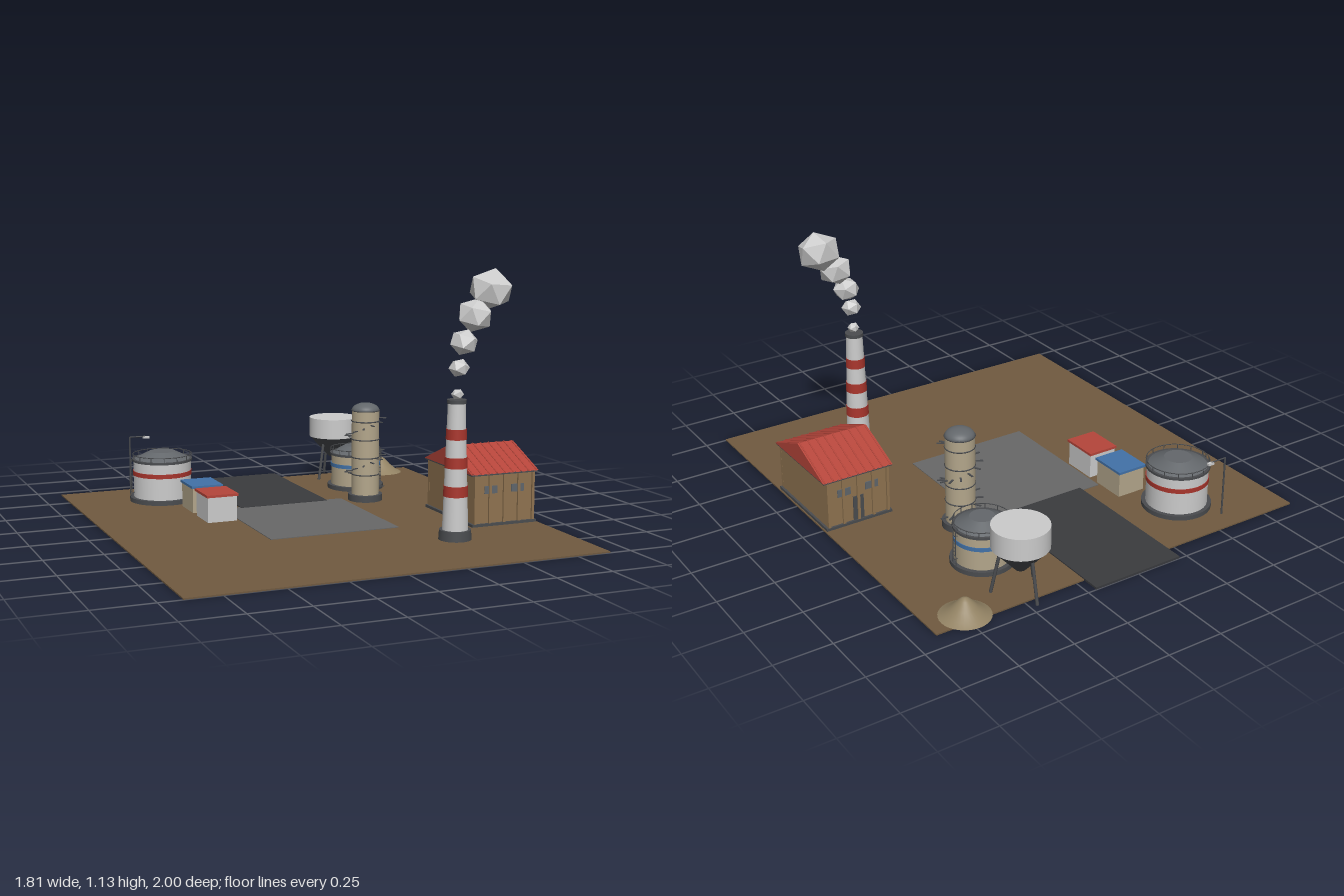
import * as THREE from 'three';

const mat = (color, extra = {}) => new THREE.MeshStandardMaterial({ color, ...extra });
const M = {
  soil: mat(0x705a40), road: mat(0x3a3b3e), slab: mat(0x686868), dark: mat(0x4a4c4f), roofGrey: mat(0x63676b),
  light: mat(0xcccccc), tan: mat(0xb3a68b), wall: mat(0x8f7350), red: mat(0xb5453a), bandRed: mat(0xa8352c),
  blue: mat(0x4272a8), glass: mat(0x5f656b), gravel: mat(0x938364), smoke: mat(0xcccccc, { flatShading: true }),
};

function add(parent, name, geo, material, x = 0, y = 0, z = 0) {
  const m = new THREE.Mesh(geo, material);
  m.name = name;
  m.position.set(x, y, z);
  parent.add(m);
  return m;
}
// Box given by its centre in x and z and its bottom and top heights
const box = (p, name, m, x, z, w, d, y0, y1) =>
  add(p, name, new THREE.BoxGeometry(w, y1 - y0, d), m, x, (y0 + y1) / 2, z);
// Upright round part between two heights
const drum = (p, name, m, r0, r1, y0, y1, n = 32) =>
  add(p, name, new THREE.CylinderGeometry(r1, r0, y1 - y0, n), m, 0, (y0 + y1) / 2, 0);
function rod(p, name, m, a, b, r) {
  const A = new THREE.Vector3(...a), d = new THREE.Vector3(...b).sub(A);
  const o = add(p, name, new THREE.CylinderGeometry(r, r, d.length(), 8), m);
  o.position.copy(A).addScaledVector(d, 0.5);
  o.quaternion.setFromUnitVectors(new THREE.Vector3(0, 1, 0), d.normalize());
}
function ring(p, name, m, r, t, y) {
  add(p, name, new THREE.TorusGeometry(r, t, 6, 36), m, 0, y, 0).rotation.x = Math.PI / 2;
}
function group(parent, name, x, z) {
  const g = new THREE.Group();
  g.name = name;
  g.position.set(x, 0, z);
  parent.add(g);
  return g;
}

// Storage tank with coloured band, domed roof, railing and ladder
function tank(root, name, x, z, r, h, wall, band, ladderSide) {
  const g = group(root, name, x, z);
  drum(g, 'tankBase', M.dark, r + 0.018, r + 0.018, 0.006, 0.026);
  drum(g, 'tankWall', wall, r, r, 0.026, h);
  drum(g, 'tankBand', band, r + 0.003, r + 0.003, h * 0.64, h * 0.74);
  drum(g, 'tankRim', M.dark, r + 0.006, r + 0.006, h - 0.007, h + 0.003);
  drum(g, 'tankRoof', M.roofGrey, r, r * 0.45, h, h + 0.036);
  ring(g, 'railing', M.dark, r + 0.003, 0.002, h + 0.024);
  for (let i = 0; i < 14; i++) {
    const a = i / 14 * Math.PI * 2, c = Math.cos(a) * (r + 0.003), s = Math.sin(a) * (r + 0.003);
    rod(g, 'railingPost', M.dark, [c, h, s], [c, h + 0.024, s], 0.0018);
  }
  const lx = ladderSide * (r + 0.016);
  for (const s of [-1, 1]) rod(g, 'ladderRail', M.dark, [lx, 0.02, s * 0.01], [lx, h + 0.01, s * 0.01], 0.002);
  for (let y = 0.035; y < h; y += 0.018) {
    rod(g, 'ladderRung', M.dark, [lx, y, -0.01], [lx, y, 0.01], 0.0015);
  }
  for (const y of [0.05, h - 0.02]) rod(g, 'ladderBracket', M.dark, [lx, y, 0], [ladderSide * r, y, 0], 0.0015);
}

function chimney(root) {
  const g = group(root, 'chimney', 0.42, 0.572);
  const rAt = y => 0.055 - (y - 0.045) / 0.54 * 0.018;
  drum(g, 'chimneyBase', M.dark, 0.07, 0.067, 0.006, 0.048);
  drum(g, 'chimneyShaft', M.light, rAt(0.045), rAt(0.585), 0.045, 0.585);
  for (const [a, b] of [[0.19, 0.235], [0.31, 0.355], [0.43, 0.474]]) {
    drum(g, 'chimneyBand', M.bandRed, rAt(a) + 0.002, rAt(b) + 0.002, a, b);
  }
  drum(g, 'chimneyRim', M.dark, 0.041, 0.041, 0.58, 0.596);
  // Puffs drift to the side as they grow
  const puffs = [[0.42, 0.618, 0.577, 0.027], [0.435, 0.725, 0.56, 0.045], [0.468, 0.828, 0.537, 0.062],
    [0.527, 0.937, 0.52, 0.08], [0.61, 1.042, 0.502, 0.098]];
  puffs.forEach(([x, y, z, r], i) => {
    const p = add(root, 'smokePuff', new THREE.IcosahedronGeometry(r, 0), M.smoke, x, y, z);
    p.rotation.set(0.1 * i, 0.25 * i, 0.08 * i);
    p.scale.y = 0.88;
  });
}

// Tall column with a dome and steps winding around it
function column(root) {
  const g = group(root, 'processColumn', 0.393, -0.28);
  drum(g, 'columnBase', M.dark, 0.08, 0.08, 0.006, 0.036);
  drum(g, 'columnWall', M.tan, 0.064, 0.064, 0.036, 0.43);
  const dome = add(g, 'columnDome', new THREE.SphereGeometry(0.064, 32, 10, 0, Math.PI * 2, 0, Math.PI / 2),
    M.roofGrey, 0, 0.43, 0);
  dome.scale.y = 0.55;
  for (const y of [0.13, 0.21, 0.295, 0.38, 0.43]) ring(g, 'columnHoop', M.dark, 0.064, 0.003, y);
  for (let i = 0; i < 24; i++) {
    const pivot = group(g, 'columnStep', 0, 0);
    pivot.rotation.y = i / 12 * Math.PI * 2;
    const y = 0.06 + i * 0.0145;
    box(pivot, 'stepTread', M.dark, 0.08, 0, 0.034, 0.008, y, y + 0.004);
  }
}

function hopper(root) {
  const g = group(root, 'hopper', 0.472, -0.848);
  drum(g, 'hopperBin', M.light, 0.119, 0.119, 0.214, 0.31);
  drum(g, 'hopperFunnel', M.dark, 0.022, 0.117, 0.11, 0.214);
  for (let i = 0; i < 3; i++) {
    const a = Math.PI + i * Math.PI * 2 / 3, s = Math.sin(a), c = Math.cos(a);
    rod(g, 'hopperLeg', M.dark, [s * 0.118, 0.005, c * 0.118], [s * 0.08, 0.19, c * 0.08], 0.007);
  }
}

// Workshop with a gabled roof whose ridge runs along x
function workshop(root) {
  const g = group(root, 'workshop', 0.74, 0.2);
  box(g, 'plinth', M.dark, 0, 0, 0.315, 0.45, 0.006, 0.018);
  box(g, 'walls', M.wall, 0, 0, 0.295, 0.43, 0.018, 0.236);
  box(g, 'eaves', M.dark, 0, 0, 0.325, 0.452, 0.23, 0.237);
  const s = new THREE.Shape();
  s.moveTo(-0.228, 0.236);
  s.lineTo(0.228, 0.236);
  s.lineTo(0, 0.33);
  s.closePath();
  const roof = add(g, 'roof', new THREE.ExtrudeGeometry(s, { depth: 0.33, bevelEnabled: false }), M.red, -0.165);
  roof.rotation.y = Math.PI / 2;
  for (const side of [-1, 1]) {
    for (let i = 0; i < 9; i++) {
      const x = -0.156 + i * 0.039;
      rod(g, 'roofRib', M.red, [x, 0.238, side * 0.224], [x, 0.331, 0], 0.003);
    }
    for (let i = 0; i < 5; i++) {
      box(g, 'pilaster', M.wall, -0.142 + i * 0.071, side * 0.217, 0.012, 0.014, 0.018, 0.232);
    }
    for (const x of [-0.066, 0.066]) {
      box(g, 'window', M.glass, x, side * 0.215, 0.062, 0.008, 0.148, 0.182);
    }
  }
  box(g, 'door', M.dark, 0, -0.215, 0.05, 0.008, 0.018, 0.13);
}

function shed(root, z, wall, roof) {
  const g = group(root, 'shed', -0.378, z);
  box(g, 'shedWalls', wall, 0, 0, 0.134, 0.16, 0.006, 0.118);
  box(g, 'shedRoof', roof, 0, 0, 0.146, 0.174, 0.118, 0.129);
}

function lamp(root) {
  const g = group(root, 'lamp', -0.59, -0.825);
  rod(g, 'lampPole', M.dark, [0, 0.005, 0], [0, 0.278, 0], 0.004);
  rod(g, 'lampArm', M.dark, [0, 0.278, 0], [0.075, 0.278, 0], 0.003);
  box(g, 'lampHead', M.light, 0.08, 0, 0.03, 0.014, 0.268, 0.278);
}

export function createModel() {
  const root = new THREE.Group();
  root.name = 'factoryYard';
  box(root, 'ground', M.soil, 0, 0.04, 1.806, 1.92, 0, 0.006);
  box(root, 'pavedYard', M.slab, -0.005, -0.015, 0.59, 0.63, 0.004, 0.009);
  box(root, 'road', M.road, 0, -0.655, 0.425, 0.69, 0.002, 0.011);
  tank(root, 'greyTank', -0.485, -0.645, 0.134, 0.2, M.light, M.bandRed, -1);
  tank(root, 'tanTank', 0.47, -0.568, 0.117, 0.176, M.tan, M.blue, 1);
  chimney(root);
  column(root);
  hopper(root);
  workshop(root);
  shed(root, -0.385, M.tan, M.blue);
  shed(root, -0.172, M.light, M.red);
  lamp(root);
  // Gravel heap with a softly hollow slope
  const heap = [[0.107, 0.006], [0.08, 0.02], [0.05, 0.045], [0.022, 0.074], [0.01, 0.082], [0, 0.084]];
  add(root, 'gravelHeap', new THREE.LatheGeometry(heap.map(p => new THREE.Vector2(...p)), 32), M.gravel,
    0.742, 0, -0.867).material.side = THREE.DoubleSide;
  return root;
}
